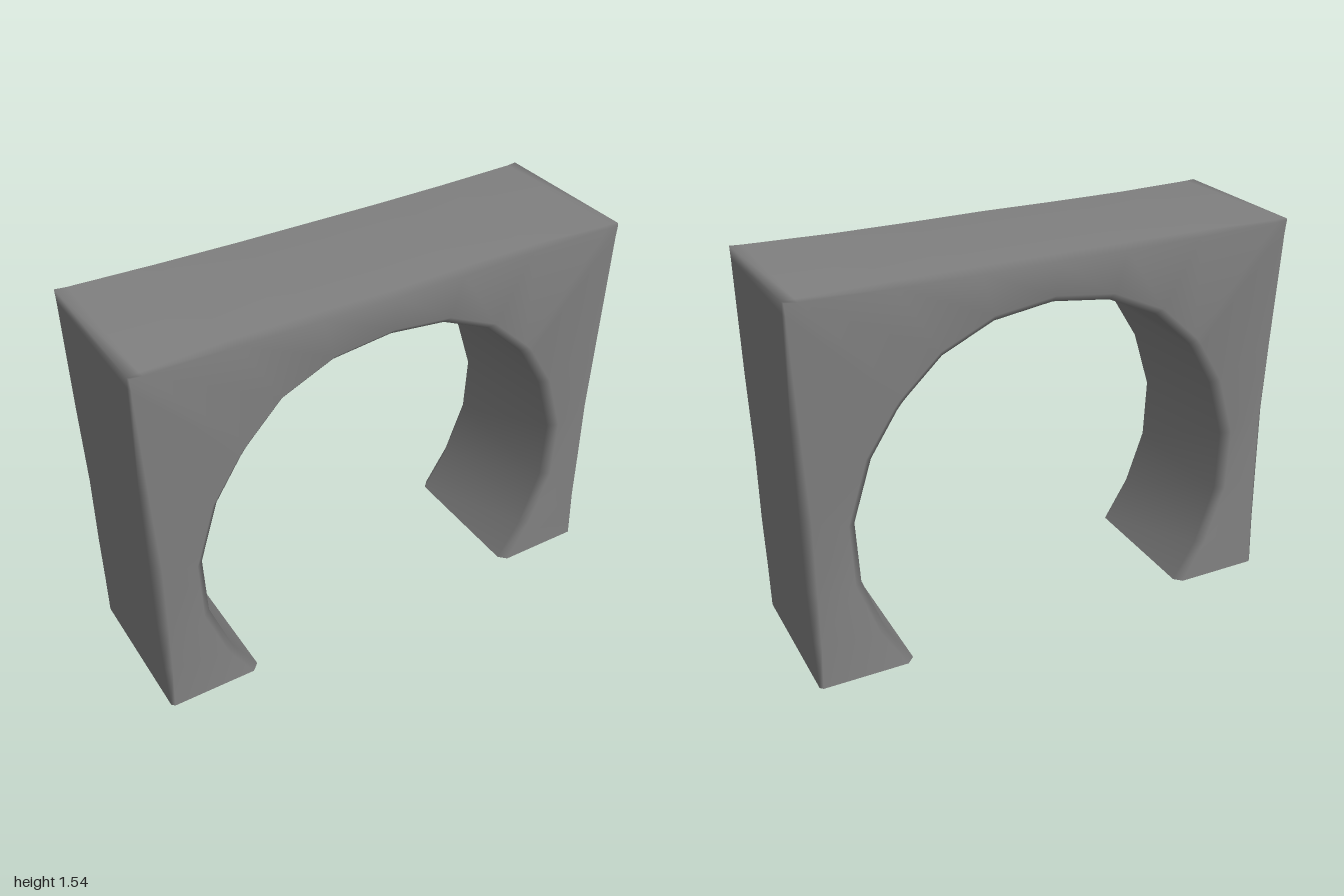
import * as THREE from 'three';

// Half of the arch, from the foot to the crown:
// [inner x, inner y, outer x, outer y, front z, back z, inner chamfer, outer chamfer]
const HALF = [
  [0.60, 0.00, 0.985, 0.00, 0.308, -0.324, 0.03, 0.012],
  [0.70, 0.16, 0.99, 0.20, 0.308, -0.32, 0.03, 0.025],
  [0.785, 0.40, 0.995, 0.42, 0.312, -0.315, 0.032, 0.032],
  [0.795, 0.65, 0.995, 0.72, 0.314, -0.312, 0.034, 0.035],
  [0.72, 0.895, 1.00, 1.06, 0.316, -0.316, 0.034, 0.028],
  [0.618, 1.065, 1.00, 1.50, 0.321, -0.324, 0.032, 0.012],
  [0.60, 1.09, 1.00, 1.545, 0.322, -0.326, 0.032, 0.006],
  [0.58, 1.11, 0.955, 1.545, 0.320, -0.325, 0.032, 0.012],
  [0.44, 1.24, 0.62, 1.545, 0.309, -0.322, 0.032, 0.022],
  [0.235, 1.333, 0.30, 1.545, 0.311, -0.318, 0.032, 0.024],
  [0.00, 1.365, 0.00, 1.545, 0.316, -0.316, 0.03, 0.022],
];

// Chamfered rectangular section, from outer front round to outer back
function section([ix, iy, ox, oy, zf, zb, ci, co]) {
  const inner = new THREE.Vector2(ix, iy), outer = new THREE.Vector2(ox, oy);
  const dir = outer.clone().sub(inner).normalize();
  const at = (p, shift, z) => [p.x + dir.x * shift, p.y + dir.y * shift, z];
  return [
    at(outer, 0, zf - co), at(outer, -co, zf),
    at(inner, ci, zf), at(inner, 0, zf - ci),
    at(inner, 0, zb + ci), at(inner, ci, zb),
    at(outer, -co, zb), at(outer, 0, zb + co),
  ].flat();
}

function archGeometry() {
  // Left leg, crown, then the mirrored right leg
  const flip = ([ix, iy, ox, oy, ...rest]) => [-ix, iy, -ox, oy, ...rest];
  const stations = [...HALF.map(flip), ...HALF.slice(0, -1).reverse()];
  const rings = stations.map(section);
  const n = 8, last = rings.length - 1, index = [];
  for (let i = 0; i < last; i++) {
    for (let j = 0; j < n; j++) {
      const a = i * n + j, b = i * n + (j + 1) % n;
      index.push(a, b, b + n, a, b + n, a + n);
    }
  }
  // Flat soles on their own corners, so their rims stay sharp
  const start = rings.length * n, end = start + n;
  for (let k = 1; k < n - 1; k++) {
    index.push(start, start + k + 1, start + k);
    index.push(end, end + k, end + k + 1);
  }
  const positions = [...rings, rings[0], rings[last]].flat();
  const g = new THREE.BufferGeometry();
  g.setAttribute('position', new THREE.Float32BufferAttribute(positions, 3));
  g.setIndex(index);
  // Area-weighted normals keep the broad faces even and the edges soft
  g.computeVertexNormals();
  return g;
}

export function createModel() {
  const group = new THREE.Group();
  group.name = 'archway';
  const stone = new THREE.MeshStandardMaterial({ color: 0x808080 });
  const arch = new THREE.Mesh(archGeometry(), stone);
  arch.name = 'stoneArch';
  group.add(arch);
  return group;
}
